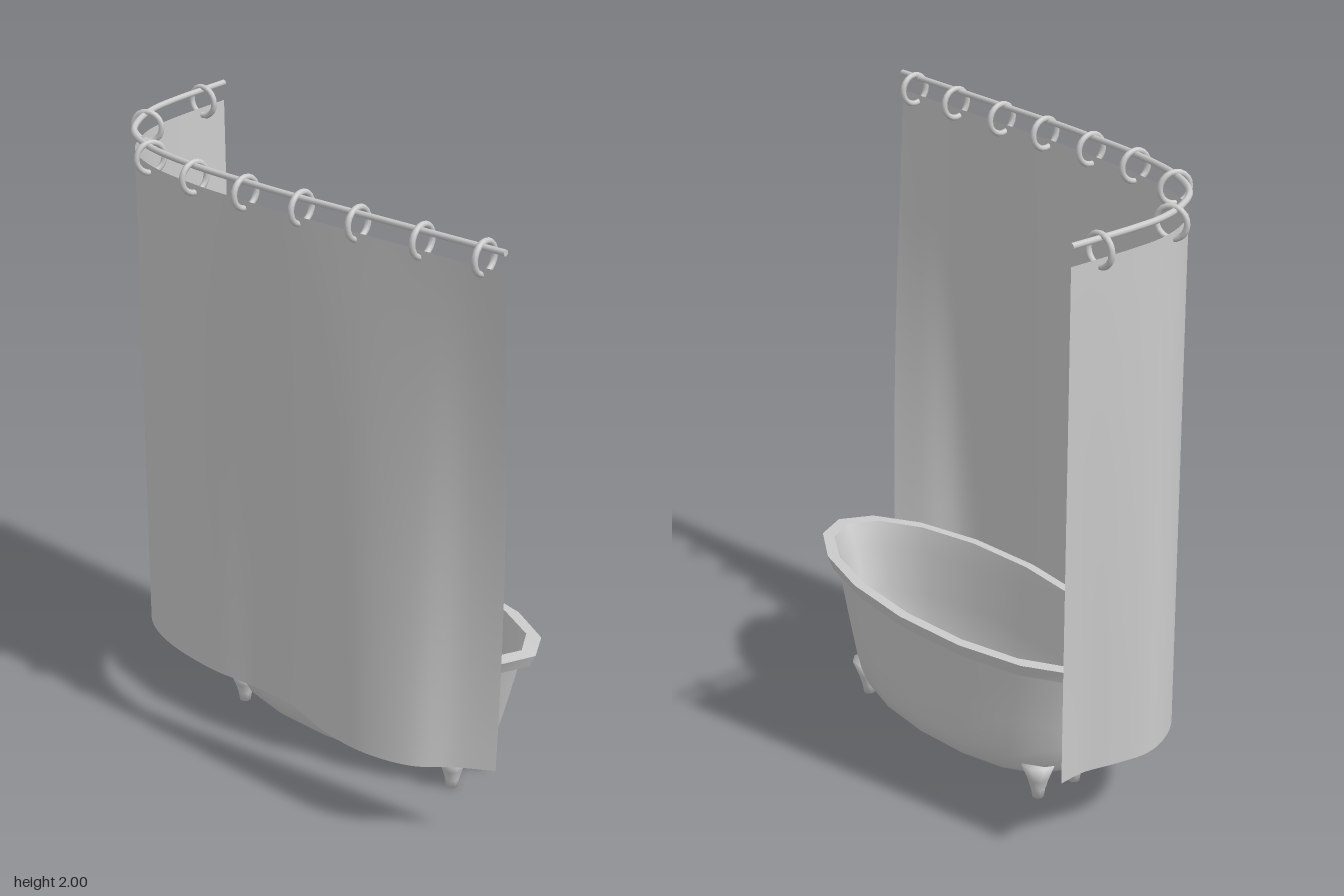
import * as THREE from 'three';

const mat = new THREE.MeshStandardMaterial({ color: 0xcccccc, side: THREE.DoubleSide, roughness: 0.7 });
const CX = 0.03, CZ = -0.07; // tub centre

function add(parent, name, geometry) {
  const m = new THREE.Mesh(geometry, mat);
  m.name = name;
  parent.add(m);
  return m;
}

// Grid surface from rows of points; "closed" joins each row into a loop
function surface(rows, closed) {
  const n = rows[0].length, pos = rows.flat().flatMap(p => [p.x, p.y, p.z]), idx = [];
  for (let i = 0; i < rows.length - 1; i++) {
    for (let j = 0; j < (closed ? n : n - 1); j++) {
      const k = (j + 1) % n;
      const a = i * n + j, b = a + n, c = i * n + k, d = c + n;
      idx.push(a, b, c, b, d, c);
    }
  }
  const g = new THREE.BufferGeometry();
  g.setAttribute('position', new THREE.Float32BufferAttribute(pos, 3));
  g.setIndex(idx);
  g.computeVertexNormals();
  return g;
}

// Sixteen-sided elliptical loft; profile entries are [rx, rz, y]
function ovalLoft(profile) {
  return surface(profile.map(([rx, rz, y]) => Array.from({ length: 16 }, (_, j) => {
    const t = j / 16 * Math.PI * 2;
    return new THREE.Vector3(rx * Math.cos(t), y, rz * Math.sin(t));
  })), true);
}

function createTub() {
  const tub = new THREE.Group();
  tub.name = 'bathtub';
  tub.position.set(CX, 0, CZ);
  add(tub, 'tubOuterShell', ovalLoft([
    [0, 0, 0.06], [0.38, 0.14, 0.06], [0.44, 0.175, 0.066], [0.485, 0.202, 0.09],
    [0.52, 0.217, 0.14], [0.545, 0.225, 0.2], [0.572, 0.234, 0.29], [0.625, 0.25, 0.487],
  ]));
  add(tub, 'tubInnerShell', ovalLoft([
    [0.63, 0.245, 0.53], [0.59, 0.234, 0.45], [0.55, 0.222, 0.3], [0.51, 0.205, 0.19],
    [0.46, 0.18, 0.138], [0.41, 0.155, 0.122], [0.36, 0.13, 0.12], [0, 0, 0.12],
  ]));
  // Rim made of three bands so its edges stay crisp
  add(tub, 'rimUnderside', ovalLoft([[0.625, 0.25, 0.487], [0.662, 0.264, 0.485]]));
  add(tub, 'rimSide', ovalLoft([[0.662, 0.264, 0.485], [0.682, 0.277, 0.528]]));
  add(tub, 'rimTop', ovalLoft([[0.682, 0.277, 0.528], [0.63, 0.245, 0.53]]));

  // Four tapered feet
  const footProfile = [[0, 0], [0.019, 0], [0.024, 0.03], [0.034, 0.065], [0.056, 0.123], [0, 0.123]]
    .map(p => new THREE.Vector2(...p));
  for (const sx of [-1, 1]) for (const sz of [-1, 1]) {
    const foot = add(tub, 'foot', new THREE.LatheGeometry(footProfile, 8, Math.PI / 8));
    foot.position.set(sx * 0.432, 0, sz * 0.075);
  }
  return tub;
}

// Plan curves as [x, z]: the rail (and curtain top), and the curtain hem
const curve = pts => new THREE.CatmullRomCurve3(pts.map(([x, z]) => new THREE.Vector3(x, 0, z)));
const rail = curve([
  [-0.79, -0.388], [-0.79, -0.29], [-0.787, -0.15], [-0.775, -0.04], [-0.735, 0.07],
  [-0.66, 0.175], [-0.53, 0.25], [-0.305, 0.3], [-0.1, 0.316], [0.06, 0.324],
  [0.22, 0.325], [0.4, 0.325], [0.58, 0.325], [0.71, 0.325], [0.83, 0.325],
]);
const hem = curve([
  [-0.735, -0.348], [-0.73, -0.26], [-0.755, -0.15], [-0.772, -0.04], [-0.745, 0.06],
  [-0.67, 0.165], [-0.54, 0.24], [-0.305, 0.29], [-0.1, 0.29], [0.06, 0.305],
  [0.22, 0.36], [0.4, 0.383], [0.56, 0.352], [0.67, 0.275], [0.775, 0.217],
]);

function createCurtain() {
  const rows = [], N = 90, M = 24;
  for (let i = 0; i <= M; i++) {
    const t = i / M;
    const blend = 0.6 * t + 0.4 * t * t * (3 - 2 * t); // folds open toward the hem
    const row = [];
    for (let j = 0; j <= N; j++) {
      const p = rail.getPoint(j / N).lerp(hem.getPoint(j / N), blend);
      p.x += 0.018 * Math.sin(Math.PI * t) * Math.max(0, (j / N - 0.8) * 5); // slack free edge
      p.y = 1.922 - 1.64 * t;
      row.push(p);
    }
    rows.push(row);
  }
  return surface(rows, false);
}

export function createModel() {
  const model = new THREE.Group();
  model.name = 'bathtubWithCurtain';
  model.add(createTub());
  add(model, 'showerCurtain', createCurtain());

  // Curved rail with end caps
  const rod = add(model, 'curtainRod', new THREE.TubeGeometry(rail, 80, 0.01, 8));
  rod.position.y = 1.98;
  for (const u of [0, 1]) {
    const cap = add(model, 'rodEnd', new THREE.CircleGeometry(0.01, 8));
    cap.position.copy(rail.getPoint(u)).setY(1.98);
    cap.rotation.y = u ? Math.PI / 2 : Math.PI;
  }

  // Rings hang square to the rail
  const ringSpots = [[-0.785, -0.28], [-0.745, 0.025], [-0.53, 0.245], [-0.305, 0.3], [-0.1, 0.31],
    [0.11, 0.31], [0.315, 0.31], [0.54, 0.31], [0.75, 0.31]];
  const ringGeo = new THREE.TorusGeometry(0.047, 0.0095, 8, 20);
  for (const [x, z] of ringSpots) {
    const spot = new THREE.Vector3(x, 0, z);
    let best = 0;
    for (let u = 0; u <= 1; u += 0.002) {
      if (rail.getPoint(u).distanceTo(spot) < rail.getPoint(best).distanceTo(spot)) best = u;
    }
    const dir = rail.getTangent(best);
    const ring = add(model, 'curtainRing', ringGeo);
    ring.position.set(x, 1.944, z);
    ring.rotation.y = Math.atan2(dir.x, dir.z);
  }
  return model;
}
